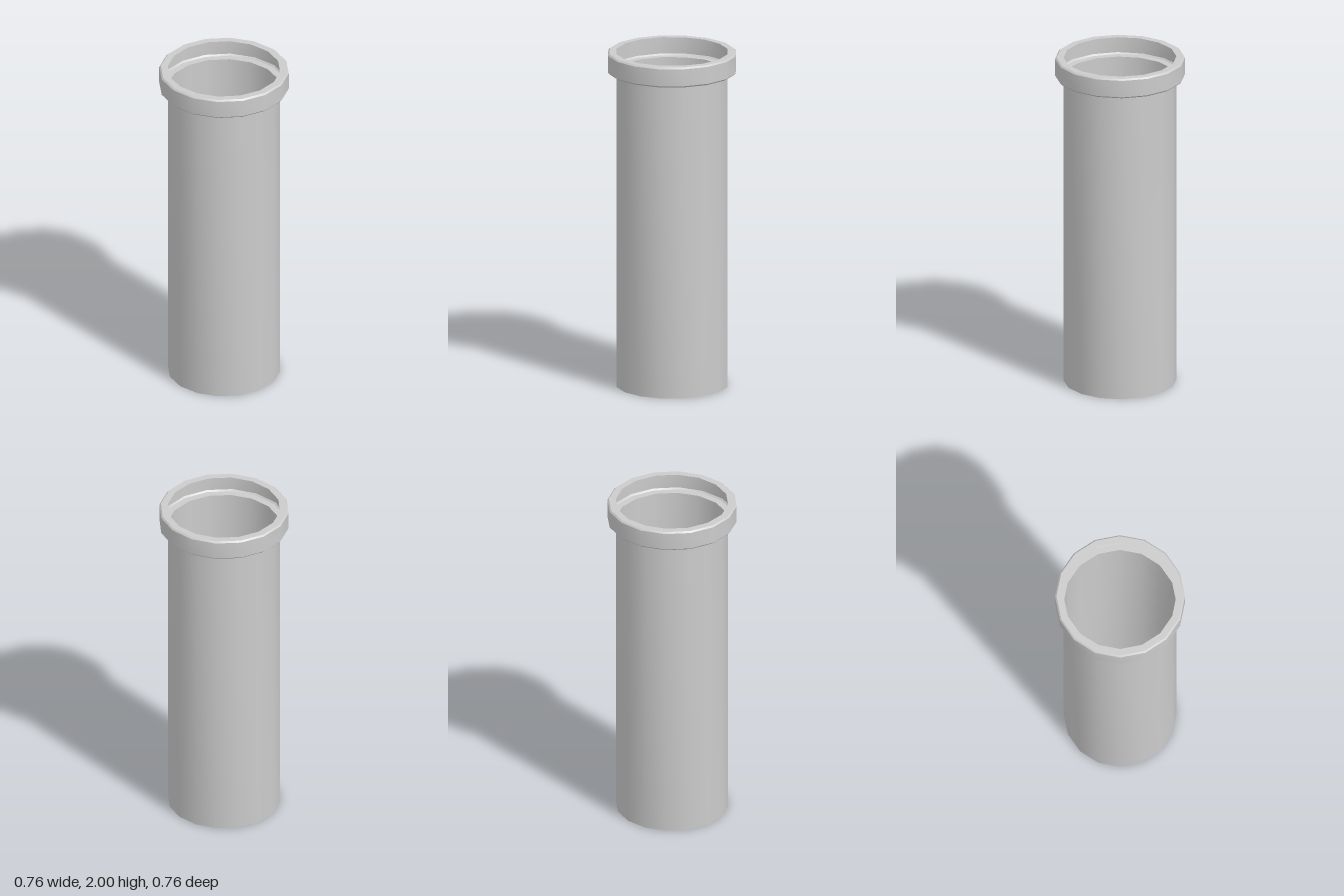
import * as THREE from 'three';
import { toCreasedNormals } from 'three/addons/utils/BufferGeometryUtils.js';

const SIDES = 16;
const TUBE_R = 0.328, COLLAR_R = 0.378, BEVEL = 0.009;
const COLLAR_Y = 1.88, TOP_Y = 2;

export function createModel() {
  const group = new THREE.Group();
  group.name = 'flangedPipe';
  const material = new THREE.MeshStandardMaterial({ color: 0xcccccc, side: THREE.DoubleSide });

  // Revolves a [radius, height] profile, smooth around and sharp at its corners
  const revolve = (name, profile) => {
    const points = profile.map(([r, y]) => new THREE.Vector2(r, y));
    const geometry = toCreasedNormals(new THREE.LatheGeometry(points, SIDES), Math.PI / 6);
    const mesh = new THREE.Mesh(geometry, material);
    mesh.name = name;
    group.add(mesh);
  };

  // Thin open tube
  revolve('pipe', [[TUBE_R, 0], [TUBE_R, COLLAR_Y]]);

  // Hollow collar shell: floor, bevelled outer wall and top lip, open towards the bore
  revolve('collar', [
    [TUBE_R, COLLAR_Y],
    [COLLAR_R - BEVEL, COLLAR_Y],
    [COLLAR_R, COLLAR_Y + BEVEL],
    [COLLAR_R, TOP_Y - BEVEL],
    [COLLAR_R - BEVEL, TOP_Y],
    [TUBE_R, TOP_Y],
  ]);

  return group;
}
